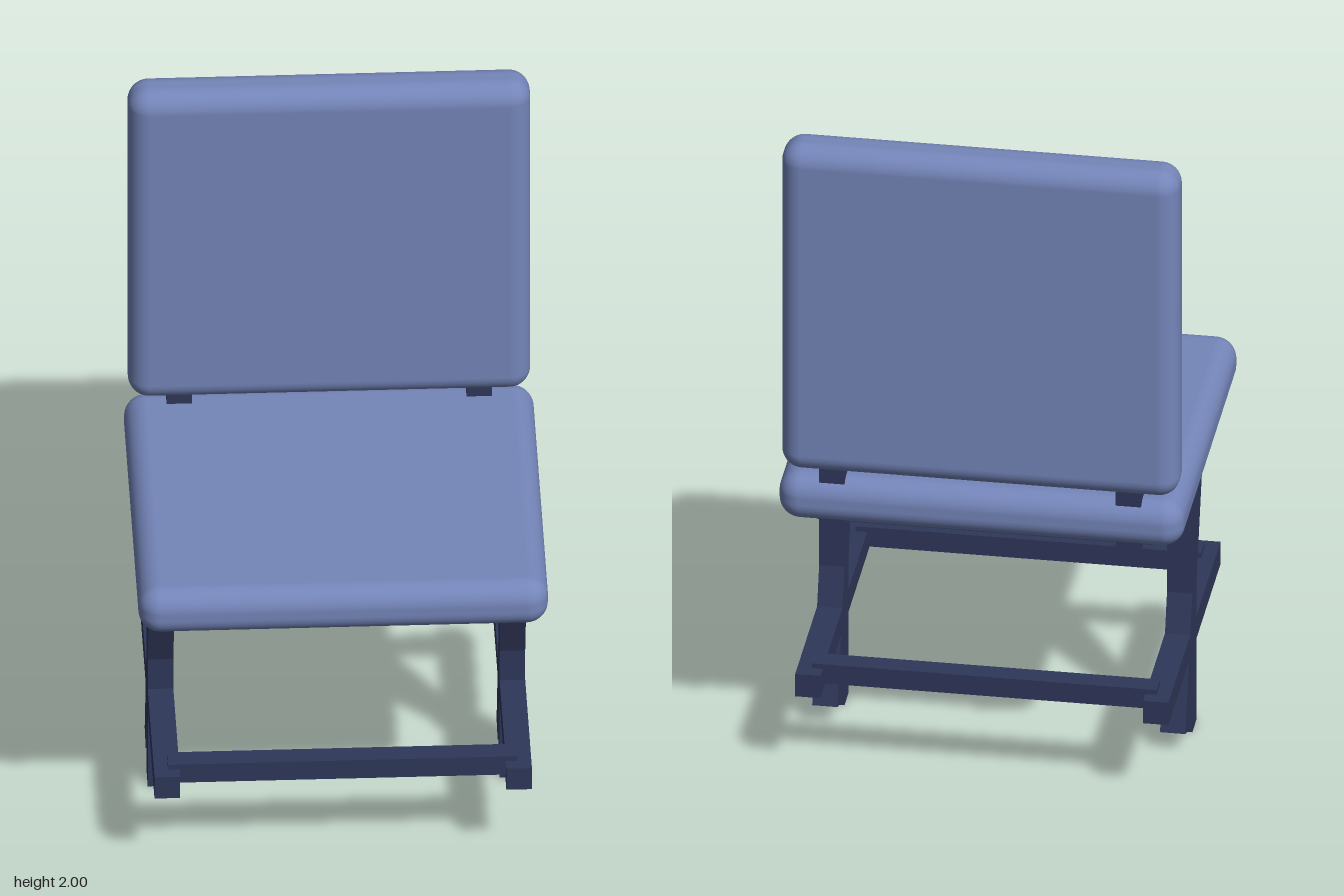
import * as THREE from 'three';
import { RoundedBoxGeometry } from 'three/addons/geometries/RoundedBoxGeometry.js';

export function createModel() {
  const model = new THREE.Group();
  model.name = 'chair';
  const fabric = new THREE.MeshStandardMaterial({ color: 0x7485b9 });
  fabric.name = 'blue fabric';
  const frame = new THREE.MeshStandardMaterial({ color: 0x2f3759 });
  frame.name = 'dark navy frame';

  function add(name, geometry, material, x, y, z) {
    const mesh = new THREE.Mesh(geometry, material);
    mesh.name = name;
    mesh.position.set(x, y, z);
    model.add(mesh);
    return mesh;
  }
  const bar = (name, w, h, d, x, y, z) =>
    add(name, new THREE.BoxGeometry(w, h, d), frame, x, y, z);

  // Cushions
  add('seatCushion', new RoundedBoxGeometry(1.12, 0.14, 1.015, 6, 0.06), fabric, 0, 0.89, 0.0075);
  add('backCushion', new RoundedBoxGeometry(1.1, 1.015, 0.14, 6, 0.058), fabric, 0, 1.4925, -0.445);

  // Board under the seat
  bar('seatBoard', 0.93, 0.05, 0.77, 0, 0.8, 0.005);

  // Side frames, mirrored left and right
  for (const [side, s] of [['left', 1], ['right', -1]]) {
    const x = s * 0.481;
    bar(side + 'UprightLeg', 0.07, 0.82, 0.07, x, 0.41, 0.003);
    const brace = bar(side + 'SlantedLeg', 0.07, 0.8, 0.07, x, 0.431, 0.004);
    brace.rotation.x = 0.317;
    bar(side + 'SideRail', 0.07, 0.07, 0.91, x, 0.289, 0.005);
    bar(side + 'BackPost', 0.07, 0.24, 0.07, s * 0.41, 0.93, -0.444);
  }

  // Front and rear cross bars
  bar('frontCrossBar', 0.955, 0.06, 0.06, 0, 0.309, 0.393);
  bar('rearCrossBar', 0.955, 0.06, 0.06, 0, 0.309, -0.381);

  return model;
}
